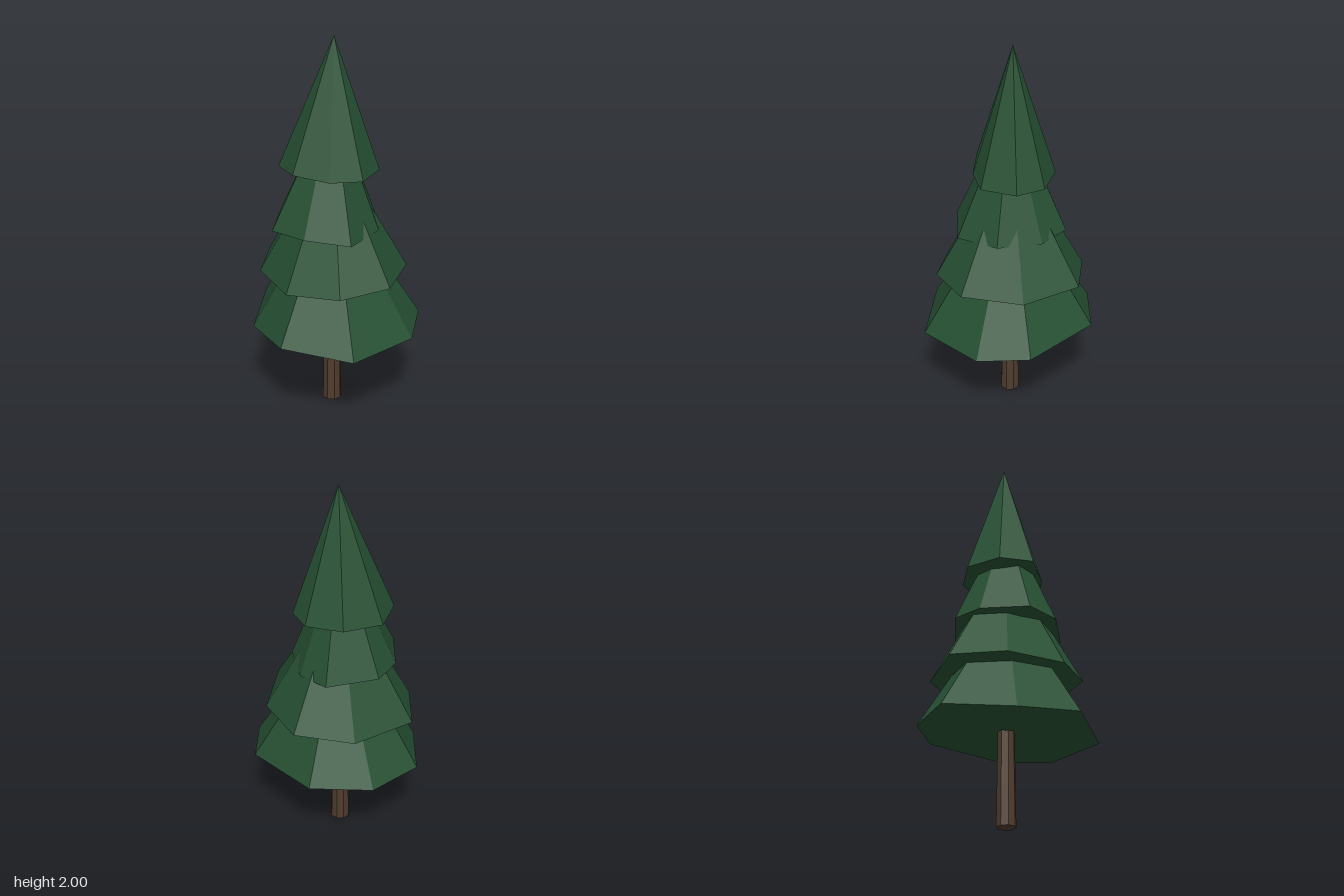
import * as THREE from 'three';

const needleGreen = new THREE.MeshStandardMaterial({ color: 0x265033, flatShading: true });
const barkBrown = new THREE.MeshStandardMaterial({ color: 0x503c2e, flatShading: true });

// Each tier: apex, and eight uneven rim corners [x, y, z] running back, left side, front, right side
const TIERS = [
  { name: 'bottomBranches', apex: [0, 1.22, 0], rim: [
    [0.02, 0.5, -0.46], [0.285, 0.49, -0.34], [0.445, 0.51, -0.06], [0.305, 0.49, 0.34],
    [0.06, 0.47, 0.46], [-0.31, 0.46, 0.36], [-0.45, 0.49, 0.01], [-0.3, 0.46, -0.29]] },
  { name: 'lowerBranches', apex: [0, 1.45, 0], rim: [
    [0.01, 0.765, -0.42], [0.295, 0.755, -0.24], [0.415, 0.79, 0.04], [0.24, 0.775, 0.3],
    [-0.06, 0.785, 0.4], [-0.29, 0.77, 0.26], [-0.375, 0.755, -0.01], [-0.24, 0.76, -0.285]] },
  { name: 'upperBranches', apex: [0, 1.69, 0], rim: [
    [-0.065, 1.04, -0.285], [0.105, 1.04, -0.275], [0.28, 1.03, -0.07], [0.235, 1.02, 0.1],
    [0.06, 1.02, 0.245], [-0.17, 1.01, 0.24], [-0.29, 1.035, 0.04], [-0.285, 1.03, -0.165]] },
  { name: 'topBranches', apex: [0.012, 2, 0], rim: [
    [0.04, 1.315, -0.26], [0.19, 1.315, -0.12], [0.23, 1.315, 0.07], [0.14, 1.31, 0.19],
    [-0.045, 1.31, 0.22], [-0.16, 1.31, 0.1], [-0.235, 1.335, -0.07], [-0.145, 1.32, -0.23]] },
];

// Faceted cone over an uneven rim, closed underneath
function tierGeometry(rim, apex) {
  const middle = [0, 1, 2].map(k => rim.reduce((sum, p) => sum + p[k], 0) / rim.length);
  const points = [];
  rim.forEach((a, i) => {
    const b = rim[(i + 1) % rim.length];
    points.push(...b, ...a, ...apex);
    points.push(...a, ...b, ...middle);
  });
  const geometry = new THREE.BufferGeometry();
  geometry.setAttribute('position', new THREE.Float32BufferAttribute(points, 3));
  geometry.computeVertexNormals();
  return geometry;
}

export function createModel() {
  const tree = new THREE.Group();
  tree.name = 'pineTree';

  // Slightly tapered trunk, ending inside the lowest tier
  const trunk = new THREE.Mesh(new THREE.CylinderGeometry(0.042, 0.05, 0.56, 8), barkBrown);
  trunk.name = 'trunk';
  trunk.position.set(-0.003, 0.28, 0);
  trunk.rotation.y = 0.12;
  tree.add(trunk);

  // Four overlapping tiers of branches
  for (const { name, apex, rim } of TIERS) {
    const tier = new THREE.Mesh(tierGeometry(rim, apex), needleGreen);
    tier.name = name;
    tree.add(tier);
  }
  return tree;
}
